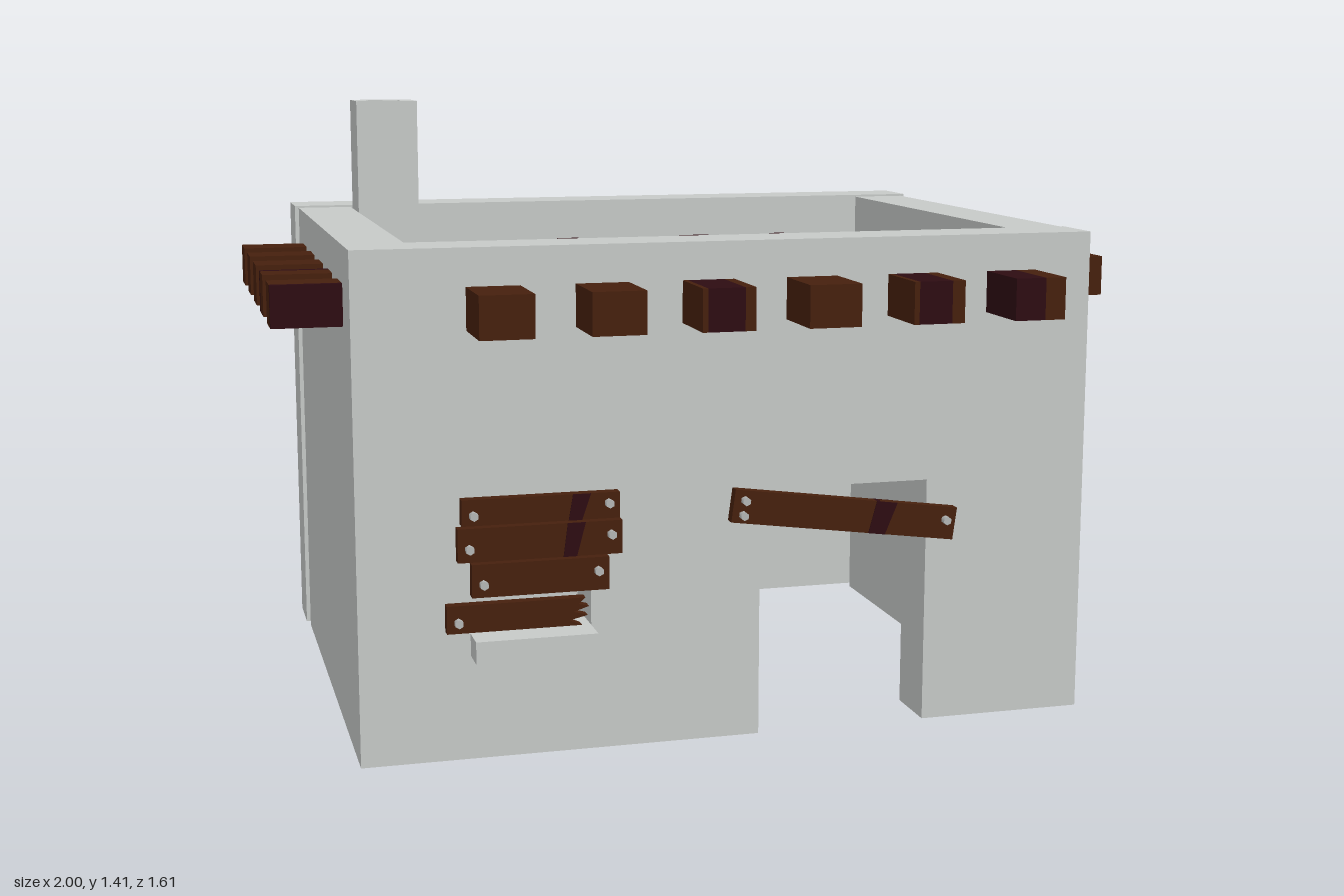
import * as THREE from 'three';

export function createModel() {
  const model = new THREE.Group();
  model.name = 'boardedHut';
  const mat = (name, hex) => {
    const m = new THREE.MeshStandardMaterial({ color: hex });
    m.name = name;
    return m;
  };
  const stone = mat('paleStone', 0xc6c9c7);
  const wood = mat('brownWood', 0x46200d);
  const grain = mat('darkGrain', 0x2d0c12);
  const nailMetal = mat('nailMetal', 0xb4b6b5);

  const add = (name, geo, material, parent = model) => {
    const mesh = new THREE.Mesh(geo, material);
    mesh.name = name;
    parent.add(mesh);
    return mesh;
  };
  // Box given by its lower and upper bounds
  const box = (name, [x0, x1], [y0, y1], [z0, z1], material, parent) => {
    const m = add(name, new THREE.BoxGeometry(x1 - x0, y1 - y0, z1 - z0), material, parent);
    m.position.set((x0 + x1) / 2, (y0 + y1) / 2, (z0 + z1) / 2);
    return m;
  };
  const polygon = (pts) => new THREE.Shape(pts.map((p) => new THREE.Vector2(p[0], p[1])));
  const rect = (x0, x1, y0, y1) => [[x0, y0], [x1, y0], [x1, y1], [x0, y1]];
  const extrude = (shape, depth) => new THREE.ExtrudeGeometry(shape, { depth, bevelEnabled: false });

  // Front wall with doorway and window
  const front = polygon([[-0.845, 0], [0.06, 0], [0.06, 0.57], [0.46, 0.57], [0.46, 0],
    [0.85, 0], [0.85, 1.13], [-0.845, 1.13]]);
  front.holes.push(polygon(rect(-0.6, -0.33, 0.285, 0.56)));
  add('frontWall', extrude(front, 0.14), stone).position.z = 0.5;

  // Back wall with two windows
  const back = polygon(rect(-0.855, 0.85, 0.01, 1.135));
  back.holes.push(polygon(rect(0.2, 0.46, 0.43, 0.7)), polygon(rect(-0.465, -0.19, 0.43, 0.7)));
  add('backWall', extrude(back, 0.14), stone).position.z = -0.657;

  // Side walls
  box('rightWall', [-0.845, -0.71], [0, 1.13], [-0.517, 0.5], stone);
  box('leftWall', [0.705, 0.84], [0, 1.13], [-0.517, 0.5], stone);

  // Window sills
  box('frontSill', [-0.6, -0.33], [0.235, 0.285], [0.63, 0.71], stone);
  box('backSillLeft', [0.2, 0.46], [0.39, 0.43], [-0.725, -0.65], stone);
  box('backSillRight', [-0.465, -0.19], [0.39, 0.43], [-0.725, -0.65], stone);

  // Sunken roof with grain streaks, drawn as (x, z) outlines
  box('roof', [-0.71, 0.705], [0.97, 1.03], [-0.517, 0.5], wood);
  const streaks = [
    [[-0.155, -0.515], [-0.095, -0.515], [-0.095, -0.3], [-0.065, 0], [-0.04, 0.5], [-0.1, 0.5], [-0.12, 0.1], [-0.135, -0.2]],
    [[0.19, -0.515], [0.27, -0.515], [0.28, -0.3], [0.35, 0], [0.37, 0.25], [0.435, 0.5], [0.3, 0.5], [0.3, 0.3], [0.265, 0], [0.17, -0.35]],
    [[-0.708, -0.515], [-0.66, -0.515], [-0.675, 0], [-0.69, 0.5], [-0.708, 0.5]],
    [[0.12, 0.3], [0.15, 0.4], [0.14, 0.5], [0.115, 0.5]],
    [[0.703, -0.3], [0.703, 0.4], [0.67, 0.25], [0.635, 0], [0.645, -0.12]],
    [[0.45, -0.515], [0.49, -0.515], [0.51, -0.45], [0.54, -0.43], [0.58, -0.49], [0.59, -0.46], [0.54, -0.38], [0.5, -0.4]],
  ];
  for (const s of streaks) {
    const g = extrude(polygon(s.map(([x, z]) => [x, -z])), 0.004).rotateX(-Math.PI / 2);
    add('roofGrain', g, grain).position.y = 1.03;
  }

  // Hollow chimney down to the ground
  const flue = polygon(rect(-0.705, -0.55, 0.37, 0.51));
  flue.holes.push(polygon(rect(-0.67, -0.585, 0.4, 0.48)));
  add('chimney', extrude(flue, 1.41).rotateX(-Math.PI / 2), stone);

  // Hearth along the right wall, with firebox opening and shelf
  const hearth = polygon(rect(-0.2, 0.37, 0, 0.25));
  hearth.holes.push(polygon(rect(-0.02, 0.18, 0.04, 0.15)));
  add('hearth', extrude(hearth, 0.16).rotateY(Math.PI / 2), stone).position.x = -0.71;
  box('hearthShelf', [-0.66, -0.54], [0.27, 0.31], [-0.18, 0.12], wood);

  // Beam ends: split across the width where a dark band runs through
  const beam = (side, c, w, band) => {
    const group = new THREE.Group();
    group.name = side + 'Beam';
    model.add(group);
    const cuts = band ? [0, band[0], band[1], 1] : [0, 1];
    for (let i = 0; i + 1 < cuts.length; i++) {
      if (cuts[i + 1] - cuts[i] < 0.01) continue;
      const across = [c + (cuts[i] - 0.5) * w, c + (cuts[i + 1] - 0.5) * w];
      const along = { front: [0.6, 0.8], back: [-0.805, -0.6], left: [0.8, 1], right: [-1, -0.8] }[side];
      const isZ = side === 'front' || side === 'back';
      box('beamPart', isZ ? across : along, [0.952, 1.046], isZ ? along : across, i === 1 ? grain : wood, group);
    }
  };
  const frontBands = [null, null, [0.1, 0.8], null, [0.1, 0.75], [0, 0.6]];
  const backBands = [[0.2, 0.55], null, [0.4, 1], null, [0, 0.35], null];
  for (let i = 0; i < 6; i++) {
    beam('front', -0.54 + 0.239 * i, 0.118, frontBands[i]);
    beam('back', -0.66 + 0.24 * i, 0.118, backBands[i]);
  }
  const leftBands = [[0.45, 0.9], null, null, null, null];
  const rightBands = [null, null, null, [0, 0.2], [0.85, 1]];
  for (let i = 0; i < 5; i++) {
    beam('left', -0.47 + 0.207 * i, 0.1, leftBands[i]);
    beam('right', -0.37 + 0.207 * i, 0.1, rightBands[i]);
  }

  // Nailed plank; dir is +1 on the front wall and -1 on the back wall
  const plank = (dir, x, y, len, h, angle, opts = {}) => {
    const group = new THREE.Group();
    group.name = 'plank';
    group.position.set(x, y, dir > 0 ? 0.653 : -0.67);
    group.rotation.z = angle;
    model.add(group);
    const a = len / 2, b = h / 2;
    const outline = opts.broken
      ? [[-a, -b], [a * 0.9, -b], [a * 0.72, -b * 0.6], [a * 0.98, -b * 0.3], [a * 0.78, 0],
        [a, b * 0.35], [a * 0.85, b * 0.55], [a * 0.95, b], [-a, b]]
      : rect(-a, a, -b, b);
    add('board', extrude(polygon(outline), 0.026).translate(0, 0, -0.013), wood, group);
    if (opts.band) {
      const [p, q] = opts.band;
      const streak = [[p, -b], [q, -b], [q + 0.02, b], [p + 0.01, b]];
      add('boardGrain', extrude(polygon(streak), 0.03).translate(0, 0, -0.015), grain, group);
    }
    for (const s of opts.nails || [-1, 1]) {
      for (const k of opts.double && s < 0 ? [-0.5, 0.4] : [0.2 * s]) {
        const nail = add('nail', new THREE.CylinderGeometry(0.01, 0.01, 0.03, 6).rotateX(Math.PI / 2), nailMetal, group);
        nail.position.set(s * (a - 0.025), k * b, dir * 0.014);
      }
    }
  };
  // Front window and doorway
  plank(1, -0.445, 0.56, 0.35, 0.058, 0, { band: [0.06, 0.09] });
  plank(1, -0.447, 0.488, 0.365, 0.075, 0, { band: [0.05, 0.08] });
  plank(1, -0.447, 0.408, 0.305, 0.074, 0);
  plank(1, -0.498, 0.325, 0.315, 0.062, 0, { broken: true, nails: [-1] });
  plank(1, 0.255, 0.505, 0.535, 0.075, -0.135, { band: [0.06, 0.1], double: true });
  // Back windows
  plank(-1, 0.31, 0.65, 0.43, 0.065, 0.01);
  plank(-1, 0.43, 0.555, 0.18, 0.07, 0, { nails: [1] });
  plank(-1, 0.31, 0.47, 0.43, 0.065, 0.02);
  plank(-1, -0.32, 0.68, 0.42, 0.065, -0.22);
  plank(-1, -0.33, 0.585, 0.45, 0.065, 0.11);
  plank(-1, -0.32, 0.475, 0.42, 0.065, 0.14);

  // Crate on the ground inside, with nailed corners
  const crate = new THREE.Group();
  crate.name = 'crate';
  crate.position.set(-0.11, 0.08, 0.35);
  model.add(crate);
  box('crateBody', [-0.1, 0.1], [-0.07, 0.07], [-0.1, 0.1], wood, crate);
  for (const s of [-1, 1]) for (const t of [-1, 1]) for (const u of [-1, 1]) {
    const nail = add('crateNail', new THREE.CylinderGeometry(0.008, 0.008, 0.01, 6), nailMetal, crate);
    nail.rotation.z = Math.PI / 2;
    nail.position.set(s * 0.1, t * 0.05, u * 0.08);
  }
  return model;
}
